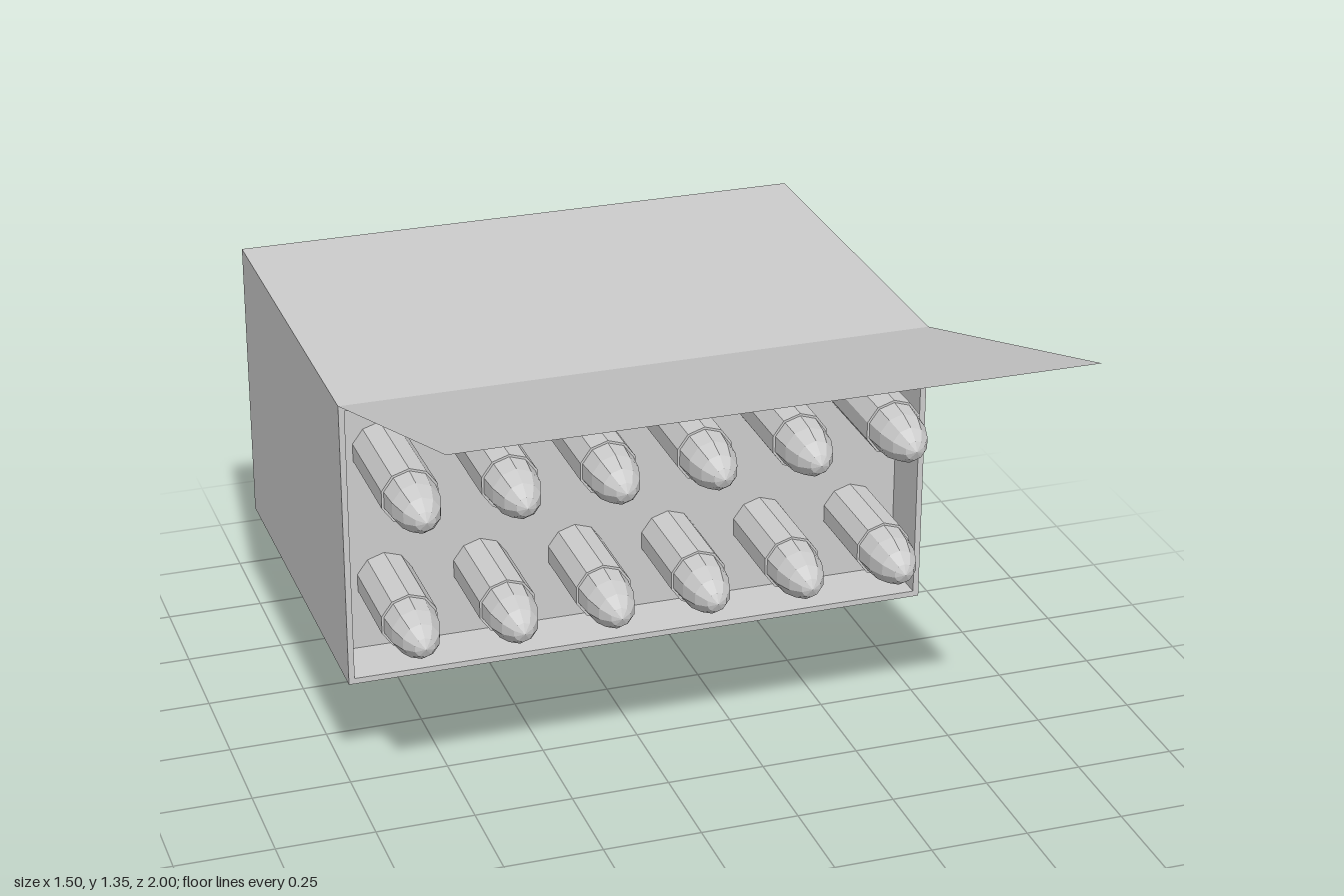
import * as THREE from 'three';

const W = 1.5, BOTTOM = 0.295, TOP = 1.045, BACK = -1, FRONT = 0.025;
const RECESS = 0.15, WALL = 0.015;

export function createModel() {
  const grey = new THREE.MeshStandardMaterial({ color: 0xcccccc, flatShading: true });
  grey.name = 'grey';
  const greySheet = grey.clone();
  greySheet.name = 'grey sheet';
  greySheet.side = THREE.DoubleSide;

  const model = new THREE.Group();
  const add = (name, geometry, material = grey) => {
    const mesh = new THREE.Mesh(geometry, material);
    mesh.name = name;
    model.add(mesh);
    return mesh;
  };

  // Carton: solid body behind a thin open rim
  const height = TOP - BOTTOM, depth = FRONT - RECESS - BACK;
  add('cartonBody', new THREE.BoxGeometry(W, height, depth))
    .position.set(0, (TOP + BOTTOM) / 2, BACK + depth / 2);

  const rect = (Type, inset) => {
    const x = W / 2 - inset, y0 = BOTTOM + inset, y1 = TOP - inset;
    return new Type([[-x, y0], [x, y0], [x, y1], [-x, y1]].map(p => new THREE.Vector2(...p)));
  };
  const rim = rect(THREE.Shape, 0);
  rim.holes.push(rect(THREE.Path, WALL));
  add('cartonRim', new THREE.ExtrudeGeometry(rim, { depth: RECESS, bevelEnabled: false }))
    .position.z = FRONT - RECESS;

  // Open flap: a sheet rising forward from the top front edge
  const rise = 0.315, reach = 1 - FRONT;
  const flap = add('flap', new THREE.PlaneGeometry(W, Math.hypot(rise, reach)), greySheet);
  flap.rotation.x = -Math.PI / 2 - Math.atan2(rise, reach);
  flap.position.set(0, TOP + rise / 2, FRONT + reach / 2);

  // Cartridge along +z, with its shoulder at the origin
  const R = 0.073, NOSE_R = 0.067, NOSE = 0.152, LENGTH = 0.438;
  const profile = [[0, -LENGTH], [R, -LENGTH], [R, 0], [NOSE_R, 0]];
  for (let i = 1; i <= 4; i++) {
    const a = i * Math.PI / 8;
    profile.push([i === 4 ? 0 : NOSE_R * Math.cos(a), NOSE * Math.sin(a)]);
  }
  const cartridge = new THREE.LatheGeometry(profile.map(p => new THREE.Vector2(...p)), 10);
  cartridge.rotateX(Math.PI / 2);

  // Two rows of six
  for (const [row, y, z] of [['upper', 0.846, 0.15], ['lower', 0.491, 0.109]]) {
    for (let i = 0; i < 6; i++) {
      add(`${row}Cartridge${i + 1}`, cartridge).position.set((i - 2.5) * 0.2455, y, z);
    }
  }

  // Loose one under the carton
  const loose = add('looseCartridge', cartridge);
  loose.rotation.set(0, Math.PI / 2, 0.344, 'ZYX');
  loose.position.set(0.547, 0.222, -0.925);

  return model;
}
